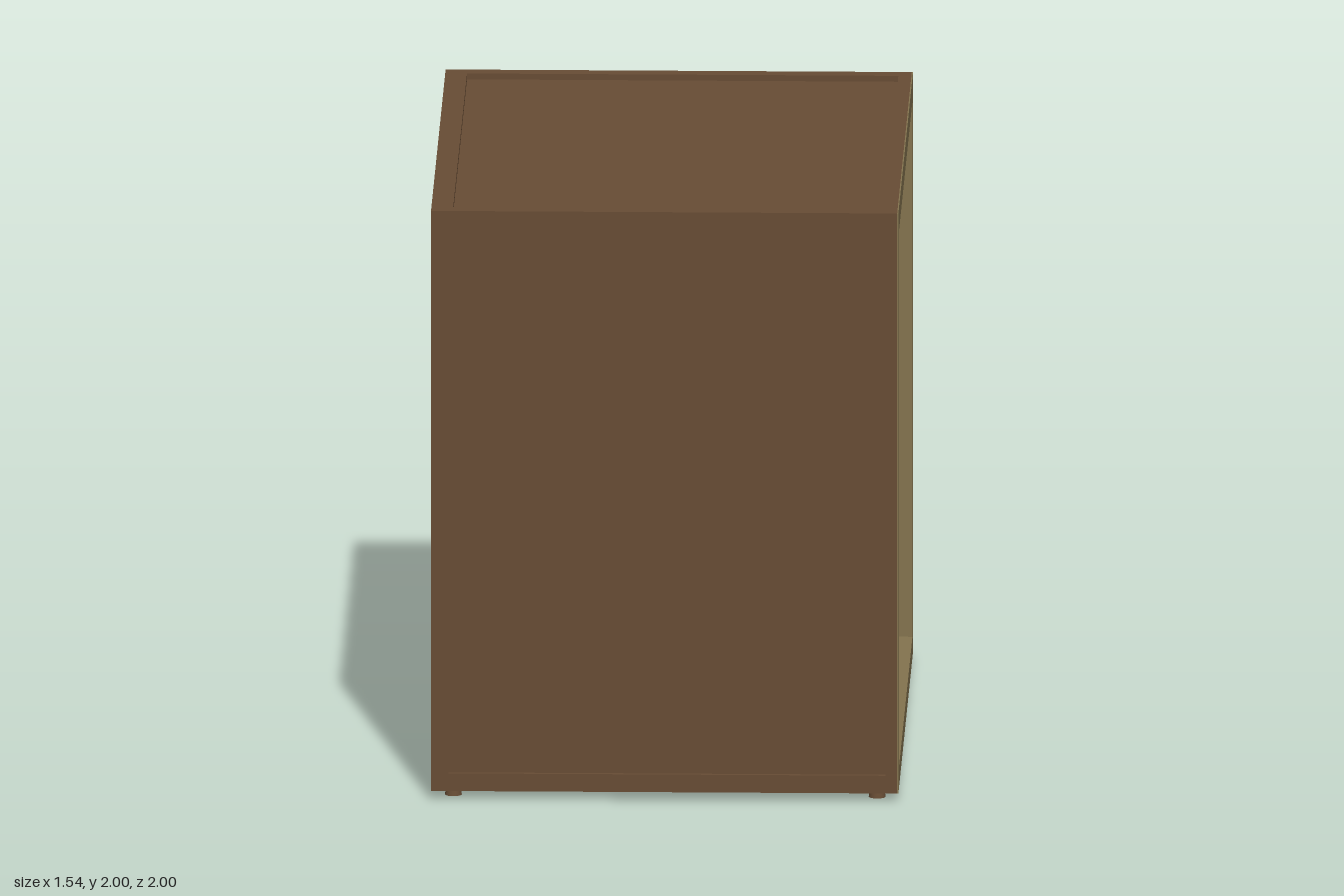
import * as THREE from 'three';

export function createModel() {
  const model = new THREE.Group();
  const brown = new THREE.MeshStandardMaterial({ color: 0x684d35 });
  brown.name = 'brown cabinet';
  const olive = new THREE.MeshStandardMaterial({ color: 0x84744f });
  olive.name = 'olive trim';

  const add = (name, geometry, material, x, y, z) => {
    const mesh = new THREE.Mesh(geometry, material);
    mesh.name = name;
    mesh.position.set(x, y, z);
    model.add(mesh);
    return mesh;
  };
  // Box given by its lower and upper limits on each axis
  const block = (name, material, [x0, x1], [y0, y1], [z0, z1]) =>
    add(name, new THREE.BoxGeometry(x1 - x0, y1 - y0, z1 - z0), material,
      (x0 + x1) / 2, (y0 + y1) / 2, (z0 + z1) / 2);

  // Rectangular ring from outer and inner limits, extruded along +z
  const rectangle = (Type, [x0, x1, y0, y1]) => {
    const path = new Type();
    path.moveTo(x0, y0).lineTo(x1, y0).lineTo(x1, y1).lineTo(x0, y1).closePath();
    return path;
  };
  const ring = (outer, inner, depth) => {
    const shape = rectangle(THREE.Shape, outer);
    shape.holes.push(rectangle(THREE.Path, inner));
    return new THREE.ExtrudeGeometry(shape, { depth, bevelEnabled: false });
  };

  // Shell: recessed panels and solid closed end
  block('frontPanel', brown, [-0.755, 0.7], [0.04, 1.98], [0.93, 0.985]);
  block('backPanel', brown, [-0.755, 0.7], [0.04, 1.98], [-0.985, -0.93]);
  block('topPanel', brown, [-0.755, 0.7], [1.92, 1.98], [-0.985, 0.985]);
  block('bottomPanel', brown, [-0.755, 0.7], [0.04, 0.1], [-0.985, 0.985]);
  block('endWall', brown, [-0.755, -0.72], [0.04, 1.98], [-0.985, 0.985]);
  block('endCover', brown, [-0.772, -0.755], [0.03, 2], [-1, 1]);
  block('innerFloor', brown, [-0.72, 0.68], [0.1, 0.17], [-0.93, 0.93]);

  // Raised rims around the outer panels
  const sideRim = ring([-0.755, 0.768, 0.03, 2], [-0.715, 0.73, 0.09, 1.91], 0.015);
  add('frontRim', sideRim, brown, 0, 0, 0.985);
  add('backRim', sideRim, brown, 0, 0, -1);
  const lidRim = ring([-0.755, 0.768, -0.985, 0.985], [-0.7, 0.725, -0.945, 0.945], 0.02);
  add('topRim', lidRim, brown, 0, 1.98, 0).rotation.x = -Math.PI / 2;
  const baseRim = ring([-0.755, 0.768, -0.985, 0.985], [-0.7, 0.725, -0.945, 0.945], 0.01);
  add('bottomRim', baseRim, brown, 0, 0.04, 0).rotation.x = Math.PI / 2;

  // Open end: brown outer collar, olive reveal and olive face
  const opening = [-0.925, 0.925, 0.1, 1.92];
  const seat = [-0.965, 0.965, 0.06, 1.96];
  const collars = [
    ['openingCollar', ring([-0.985, 0.985, 0.04, 1.98], seat, 0.068), brown, 0.7],
    ['openingReveal', ring(seat, opening, 0.068), olive, 0.7],
    ['openingFace', ring([-1, 1, 0.03, 2], opening, 0.004), olive, 0.768],
  ];
  for (const [name, geometry, material, x] of collars)
    add(name, geometry, material, x, 0, 0).rotation.y = Math.PI / 2;

  // Ceiling rails
  block('outerCeilingRail', olive, [0.575, 0.625], [1.88, 1.905], [-0.825, 0.825]);
  block('outerRailMount', brown, [0.59, 0.61], [1.905, 1.92], [-0.8, 0.8]);
  block('innerCeilingRail', brown, [-0.32, -0.26], [1.885, 1.92], [-0.825, 0.825]);
  block('innerRailStrip', olive, [-0.315, -0.265], [1.88, 1.885], [-0.82, 0.82]);

  // Rounded slots in a row along the floor
  const slot = new THREE.Shape();
  slot.absarc(0, 0.085, 0.033, 0, Math.PI);
  slot.absarc(0, -0.085, 0.033, Math.PI, Math.PI * 2);
  const slotPlate = new THREE.ExtrudeGeometry(slot, { depth: 0.004, bevelEnabled: false });
  for (const z of [-0.49, -0.16, 0.16, 0.49])
    add('floorSlot', slotPlate, olive, 0.11, 0.169, z).rotation.x = -Math.PI / 2;

  // Small round feet
  const foot = new THREE.CylinderGeometry(0.022, 0.028, 0.04, 20);
  for (const x of [-0.7, 0.7])
    for (const z of [-0.92, 0.92]) add('foot', foot, brown, x, 0.02, z);

  return model;
}
